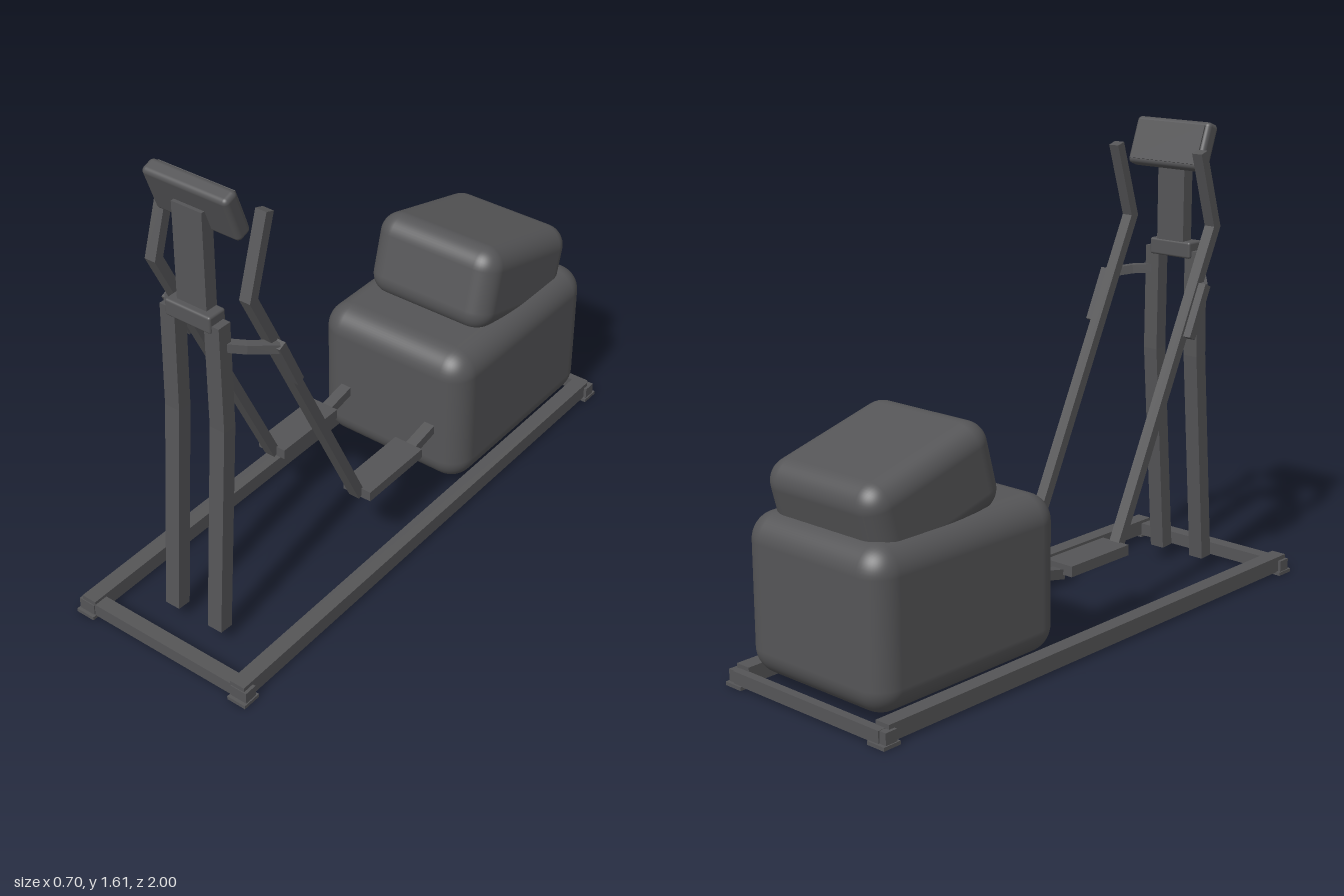
import * as THREE from 'three';
import { RoundedBoxGeometry } from 'three/addons/geometries/RoundedBoxGeometry.js';

export function createModel() {
  const root = new THREE.Group();
  root.name = 'ellipticalTrainer';
  const grey = new THREE.MeshStandardMaterial({ color: 0x555557 });
  grey.name = 'charcoal grey';

  const add = (name, geometry, x, y, z, rx = 0, parent = root) => {
    const mesh = new THREE.Mesh(geometry, grey);
    mesh.name = name;
    mesh.position.set(x, y, z);
    mesh.rotation.x = rx;
    parent.add(mesh);
    return mesh;
  };
  const box = (name, w, h, d, x, y, z, rx, parent) =>
    add(name, new THREE.BoxGeometry(w, h, d), x, y, z, rx, parent);
  const rounded = (name, w, h, d, r, x, y, z, rx, parent) =>
    add(name, new RoundedBoxGeometry(w, h, d, 6, r), x, y, z, rx, parent);

  // Square bar swept through points, mitred at each bend; w runs sideways, t across the bend
  const bar = (name, points, w, t, side = new THREE.Vector3(1, 0, 0)) => {
    const p = points.map((a) => new THREE.Vector3(...a));
    const rings = p.map((c, i) => {
      const a = c.clone().sub(p[Math.max(i - 1, 0)]).normalize();
      const b = p[Math.min(i + 1, p.length - 1)].clone().sub(c).normalize();
      const dir = a.clone().add(b).normalize();
      const stretch = a.lengthSq() && b.lengthSq() ? 1 / Math.sqrt((1 + a.dot(b)) / 2) : 1;
      const n = dir.clone().cross(side).normalize();
      const s = n.clone().cross(dir).normalize();
      return [[-1, -1], [1, -1], [1, 1], [-1, 1]].map(([u, v]) =>
        c.clone().addScaledVector(s, u * w / 2).addScaledVector(n, v * t * stretch / 2));
    });
    const pos = [];
    const quad = (a, b, c, d) => [a, b, c, a, c, d].forEach((q) => pos.push(q.x, q.y, q.z));
    for (let i = 0; i + 1 < rings.length; i++) {
      for (let k = 0; k < 4; k++) {
        const m = (k + 1) % 4;
        quad(rings[i][k], rings[i + 1][k], rings[i + 1][m], rings[i][m]);
      }
    }
    const first = rings[0], last = rings[rings.length - 1];
    quad(first[0], first[1], first[2], first[3]);
    quad(last[3], last[2], last[1], last[0]);
    const g = new THREE.BufferGeometry();
    g.setAttribute('position', new THREE.Float32BufferAttribute(pos, 3));
    // Wind outward whichever way the ring runs
    const q = new THREE.Vector3().subVectors(first[1], first[0])
      .cross(new THREE.Vector3().subVectors(first[2], first[0]));
    if (q.dot(p[1].clone().sub(p[0])) > 0) {
      const at = g.attributes.position;
      for (let i = 0; i < at.count; i += 3) {
        const b = new THREE.Vector3().fromBufferAttribute(at, i + 1);
        const c = new THREE.Vector3().fromBufferAttribute(at, i + 2);
        at.setXYZ(i + 1, c.x, c.y, c.z);
        at.setXYZ(i + 2, b.x, b.y, b.z);
      }
    }
    g.computeVertexNormals();
    return add(name, g, 0, 0, 0);
  };

  // Floor frame
  box('frontCrossRail', 0.58, 0.045, 0.05, 0, 0.032, 0.96);
  box('rearCrossRail', 0.64, 0.042, 0.03, 0, 0.031, -0.978);

  // Flywheel housing and its tilted upper cover
  rounded('flywheelHousing', 0.6, 0.52, 0.785, 0.09, 0, 0.305, -0.573);
  rounded('upperCover', 0.49, 0.3, 0.523, 0.075, 0, 0.636, -0.65, -0.265);

  // Collar, neck and console
  rounded('postCollar', 0.172, 0.057, 0.07, 0.008, 0, 1.168, 0.748);
  box('consoleNeck', 0.112, 0.33, 0.045, 0, 1.355, 0.738);
  const consoleUnit = new THREE.Group();
  consoleUnit.name = 'console';
  consoleUnit.position.set(0, 1.525, 0.72);
  consoleUnit.rotation.x = 0.35;
  root.add(consoleUnit);
  rounded('consoleBody', 0.312, 0.165, 0.056, 0.016, 0, 0, 0, 0, consoleUnit);
  box('consoleScreen', 0.28, 0.135, 0.008, 0, 0, -0.029, 0, consoleUnit);

  for (const s of [-1, 1]) {
    // Side rail with a thin foot plate and cap at each corner
    box('sideRail', 0.055, 0.055, 1.95, s * 0.308, 0.038, 0.01);
    for (const e of [-1, 1]) {
      box('footPlate', 0.07, 0.012, 0.066, s * 0.315, 0.006, e * 0.967);
      box('cornerCap', 0.062, 0.042, 0.045, s * 0.315, 0.03, e * 0.966);
    }
    // Upright post with a slight bend
    bar('uprightPost', [[s * 0.088, 0.05, 0.81], [s * 0.088, 0.8, 0.752],
      [s * 0.084, 1.165, 0.75]], 0.056, 0.05);
    // Swinging arm from handgrip to pedal
    bar('swingArm', [[s * 0.178, 1.52, 0.638], [s * 0.178, 1.265, 0.718],
      [s * 0.178, 0.245, 0.222]], 0.04, 0.033);
    box('pedal', 0.11, 0.036, 0.285, s * 0.179, 0.255, 0.082);
    bar('pedalLink', [[s * 0.178, 0.236, -0.05], [s * 0.178, 0.272, -0.22]], 0.04, 0.033);
    // Fixed handle curving out from the post and down beside the arm
    bar('fixedHandleBracket', [[s * 0.09, 1.085, 0.742], [s * 0.15, 1.08, 0.7],
      [s * 0.21, 1.068, 0.63]], 0.03, 0.03, new THREE.Vector3(0, 1, 0));
    bar('fixedHandleGrip', [[s * 0.212, 1.08, 0.635], [s * 0.212, 0.91, 0.555]], 0.03, 0.03);
  }
  return root;
}
